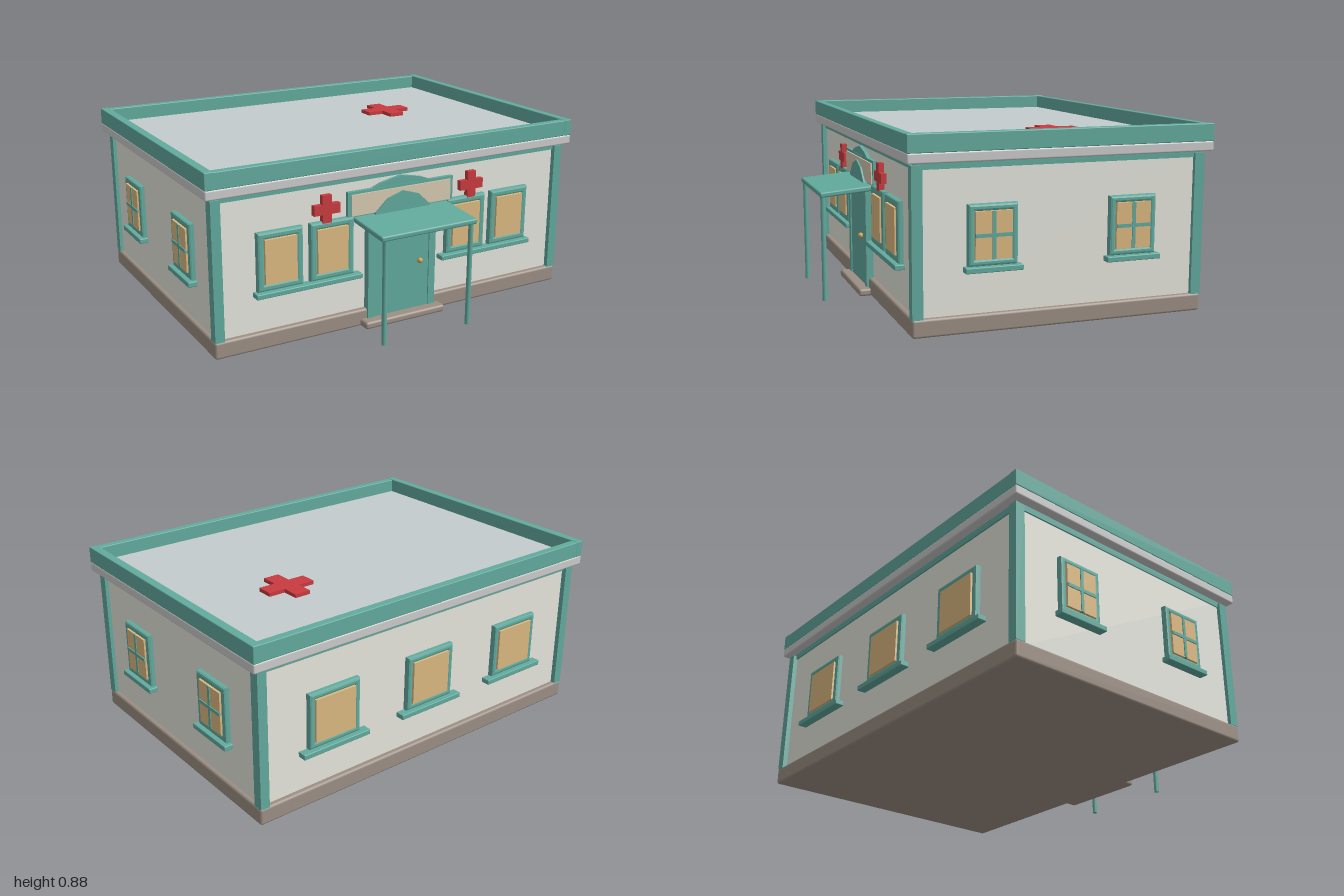
import * as THREE from 'three';
import { RoundedBoxGeometry } from 'three/addons/geometries/RoundedBoxGeometry.js';

const mat = (color) => new THREE.MeshStandardMaterial({ color });
const TEAL = mat(0x62aa9d), WALL = mat(0xe6e6de), BASE = mat(0x9c8f84), GLASS = mat(0xdcb981),
  RED = mat(0xc83b3f), ROOF = mat(0xc3cccd), EAVE = mat(0xcccccc), SIGN = mat(0xd5c9b1), BRASS = mat(0xc9a050);

function add(parent, name, geometry, material, x = 0, y = 0, z = 0) {
  const mesh = new THREE.Mesh(geometry, material);
  mesh.name = name;
  mesh.position.set(x, y, z);
  parent.add(mesh);
  return mesh;
}

// Box given by its min and max on each axis; optional rounded edges
function block(parent, name, material, [x0, x1], [y0, y1], [z0, z1], r = 0) {
  const s = [x1 - x0, y1 - y0, z1 - z0];
  const geo = r ? new RoundedBoxGeometry(...s, 2, r) : new THREE.BoxGeometry(...s);
  return add(parent, name, geo, material, (x0 + x1) / 2, (y0 + y1) / 2, (z0 + z1) / 2);
}

function shapeOf(points) {
  return new THREE.Shape(points.map(([x, y]) => new THREE.Vector2(x, y)));
}

const extrude = (shape, depth) => new THREE.ExtrudeGeometry(shape, { depth, bevelEnabled: false });

// Cross with arm reach a and half width b
function crossGeometry(a, b, depth) {
  return extrude(shapeOf([[-b, -a], [b, -a], [b, -b], [a, -b], [a, b], [b, b],
    [b, a], [-b, a], [-b, b], [-a, b], [-a, -b], [-b, -b]]), depth);
}

// Softly bevelled rectangular frame with an opening, standing on z = 0
function frameGeometry(w, h, border) {
  const bev = 0.01, x = w / 2 - bev, y = h / 2 - bev;
  const shape = shapeOf([[-x, -y], [x, -y], [x, y], [-x, y]]);
  const ix = w / 2 - border + bev, iy = h / 2 - border + bev;
  shape.holes.push(new THREE.Path([[-ix, -iy], [-ix, iy], [ix, iy], [ix, -iy]].map((p) => new THREE.Vector2(...p))));
  return new THREE.ExtrudeGeometry(shape, {
    depth: 0.017, bevelEnabled: true, bevelThickness: bev, bevelSize: bev, bevelSegments: 2,
  });
}

// Window facing local +z, with its wall at z = 0
function windowUnit(w, h, border, { bars = false, sill = 0 } = {}) {
  const g = new THREE.Group();
  g.name = 'window';
  add(g, 'windowFrame', frameGeometry(w, h, border), TEAL);
  const gw = w / 2 - border, gh = h / 2 - border;
  block(g, 'windowPane', GLASS, [-gw, gw], [-gh, gh], [0, 0.032]);
  if (bars) {
    block(g, 'uprightBar', TEAL, [-0.008, 0.008], [-gh, gh], [0.02, 0.036]);
    block(g, 'crossBar', TEAL, [-gw, gw], [-0.008, 0.008], [0.02, 0.037]);
  }
  if (sill) block(g, 'windowSill', TEAL, [-sill / 2, sill / 2], [-h / 2 - 0.025, -h / 2], [0, 0.046], 0.004);
  return g;
}

export function createModel() {
  const model = new THREE.Group();
  model.name = 'clinic';
  const place = (unit, x, y, z, turn = 0) => {
    unit.position.set(x, y, z);
    unit.rotation.y = turn;
    model.add(unit);
  };

  // Body
  block(model, 'foundation', BASE, [-0.97, 0.97], [0, 0.083], [-0.805, 0.585], 0.012);
  block(model, 'walls', WALL, [-0.95, 0.95], [0.06, 0.76], [-0.78, 0.56]);
  block(model, 'upperTrim', TEAL, [-0.957, 0.957], [0.72, 0.752], [-0.788, 0.568]);
  for (const s of [-1, 1]) {
    const xs = s > 0 ? [0.922, 0.968] : [-0.968, -0.922];
    block(model, 'cornerPost', TEAL, xs, [0.08, 0.74], [0.535, 0.584]);
    block(model, 'cornerPost', TEAL, xs, [0.08, 0.74], [-0.804, -0.755]);
  }

  // Roof
  block(model, 'eave', EAVE, [-1, 1], [0.75, 0.797], [-0.83, 0.61], 0.008);
  block(model, 'roofDeck', ROOF, [-0.97, 0.97], [0.78, 0.805], [-0.8, 0.58]);
  for (const xs of [[-1, -0.957], [0.957, 1]])
    block(model, 'sideParapet', TEAL, xs, [0.795, 0.876], [-0.83, 0.61], 0.004);
  for (const zs of [[-0.829, -0.79], [0.57, 0.609]])
    block(model, 'parapet', TEAL, [-0.965, 0.965], [0.795, 0.874], zs, 0.004);
  add(model, 'roofCross', crossGeometry(0.125, 0.041, 0.02), RED, 0.44, 0.803, -0.28).rotation.x = -Math.PI / 2;

  // Front and side windows, wall crosses
  for (const s of [-1, 1]) {
    for (const x of [0.375, 0.64]) place(windowUnit(0.228, 0.28, 0.034), s * x, 0.418, 0.56);
    block(model, 'frontSill', TEAL, s > 0 ? [0.225, 0.77] : [-0.77, -0.225], [0.254, 0.278], [0.55, 0.606], 0.004);
    for (const z of [0.222, -0.443])
      place(windowUnit(0.228, 0.27, 0.03, { bars: true, sill: 0.264 }), s * 0.95, 0.43, z, s * Math.PI / 2);
    add(model, 'wallCross', crossGeometry(0.067, 0.024, 0.03), RED, s * 0.403, 0.615, 0.556);
  }

  // Back windows
  for (const x of [-0.565, 0, 0.565])
    place(windowUnit(0.28, 0.27, 0.03, { sill: 0.37 }), x, 0.415, -0.78, Math.PI);

  // Door and step
  block(model, 'doorStep', BASE, [-0.225, 0.225], [0, 0.036], [0.55, 0.642], 0.012);
  for (const xs of [[-0.19, -0.153], [0.153, 0.19]])
    block(model, 'doorJamb', TEAL, xs, [0.036, 0.53], [0.55, 0.596]);
  block(model, 'doorHead', TEAL, [-0.153, 0.153], [0.505, 0.53], [0.55, 0.596]);
  block(model, 'door', TEAL, [-0.153, 0.153], [0.036, 0.505], [0.55, 0.59]);
  add(model, 'doorKnob', new THREE.SphereGeometry(0.014, 12, 8), BRASS, 0.098, 0.28, 0.602);

  // Canopy sloping down to two posts
  const canopy = add(model, 'canopy', new RoundedBoxGeometry(0.524, 0.026, 0.27, 2, 0.008), TEAL, 0, 0.53, 0.695);
  canopy.rotation.x = 0.085;
  for (const s of [-1, 1])
    add(model, 'canopyPost', new THREE.CylinderGeometry(0.012, 0.012, 0.515, 12), TEAL, s * 0.235, 0.2575, 0.813);

  // Blank sign board with faceted arches
  block(model, 'signFrame', TEAL, [-0.292, 0.292], [0.545, 0.675], [0.55, 0.58]);
  block(model, 'signPanel', SIGN, [-0.275, 0.275], [0.56, 0.662], [0.56, 0.587]);
  add(model, 'upperArch', extrude(shapeOf([[-0.18, 0.64], [0.18, 0.64], [0.18, 0.667], [0.11, 0.695],
    [0, 0.717], [-0.11, 0.695], [-0.18, 0.667]]), 0.028), TEAL, 0, 0, 0.55);
  add(model, 'lowerArch', extrude(shapeOf([[-0.155, 0.545], [0.155, 0.545], [0.15, 0.56], [0.085, 0.62],
    [0, 0.647], [-0.085, 0.62], [-0.15, 0.56]]), 0.04), TEAL, 0, 0, 0.556);

  return model;
}
